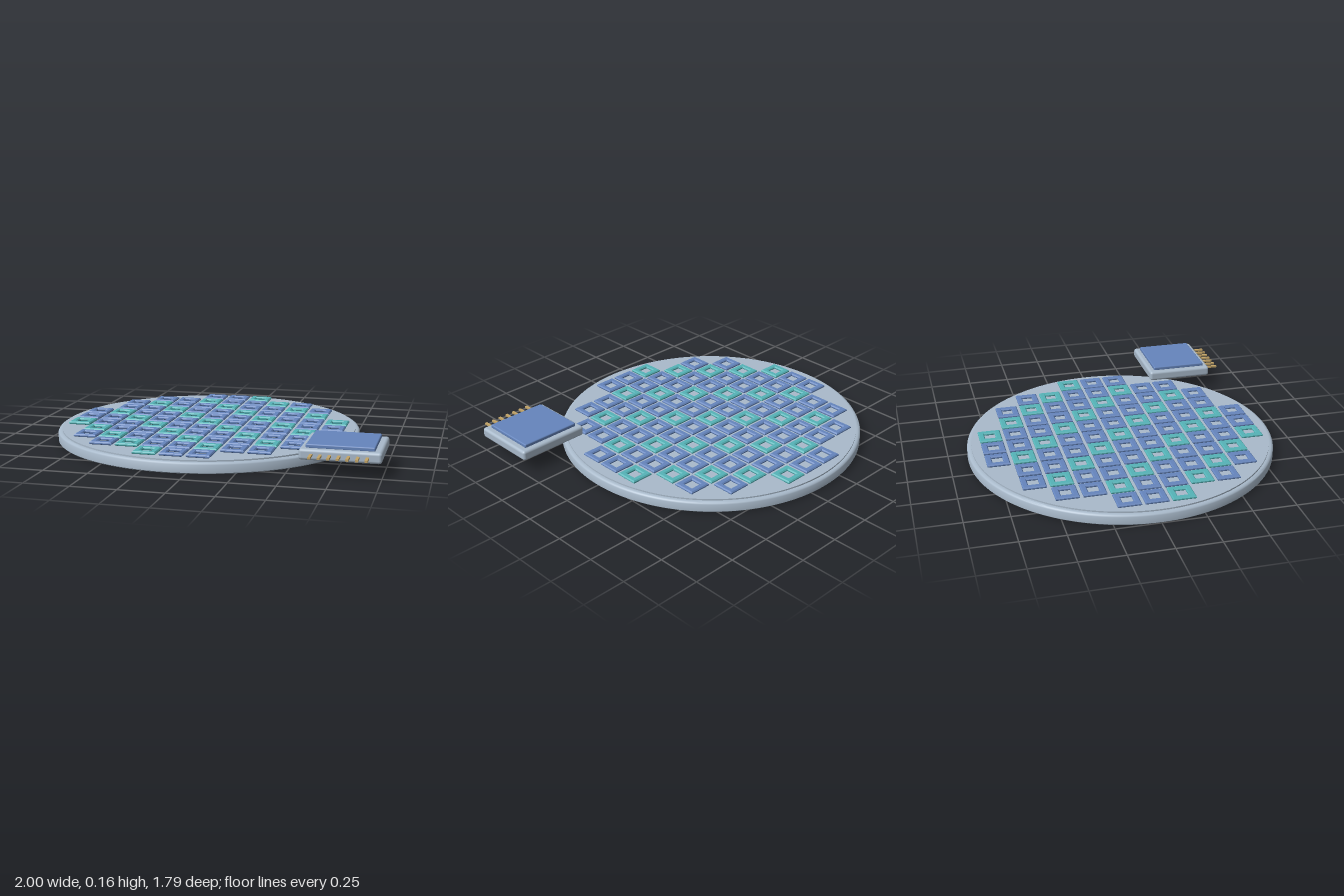
import * as THREE from 'three';
import { RoundedBoxGeometry } from 'three/addons/geometries/RoundedBoxGeometry.js';
import { toCreasedNormals } from 'three/addons/utils/BufferGeometryUtils.js';

const material = (name, color) => {
  const m = new THREE.MeshStandardMaterial({ color });
  m.name = name;
  return m;
};

export function createModel() {
  const silver = material('silver', 0xa9bacb);
  const blue = material('blue', 0x6585bd);
  const teal = material('teal', 0x55b3b7);
  const gold = material('gold', 0xc2a468);

  const model = new THREE.Group();
  model.name = 'waferAndChip';
  const add = (name, geometry, mat, x, y, z, parent = model) => {
    const mesh = new THREE.Mesh(geometry, mat);
    mesh.name = name;
    mesh.position.set(x, y, z);
    parent.add(mesh);
    return mesh;
  };

  // Round wafer with a softened rim and a thin raised face
  const cx = -0.107;
  const profile = [
    [0, 0], [0.888, 0], [0.893, 0.005], [0.893, 0.048], [0.889, 0.055], [0.88, 0.06],
    [0.868, 0.06], [0.868, 0.068], [0, 0.068],
  ].map(([r, y]) => new THREE.Vector2(r, y));
  add('wafer', toCreasedNormals(new THREE.LatheGeometry(profile, 128), 0.6), silver, cx, 0, 0);

  // Square die frame with chamfered edges and an open centre
  const square = (Type, h) => new Type([
    new THREE.Vector2(-h, -h), new THREE.Vector2(h, -h),
    new THREE.Vector2(h, h), new THREE.Vector2(-h, h),
  ]);
  const bevel = 0.006;
  const frame = square(THREE.Shape, 0.065 - bevel);
  frame.holes.push(square(THREE.Path, 0.031 + bevel));
  const dieGeometry = new THREE.ExtrudeGeometry(frame, {
    depth: 0.006, bevelEnabled: true, bevelThickness: bevel, bevelSize: bevel, bevelSegments: 1,
  });
  dieGeometry.rotateX(-Math.PI / 2);

  // Dies fill the round face, every third diagonal in teal
  const dies = new THREE.Group();
  dies.name = 'dies';
  model.add(dies);
  const pitch = 0.149;
  for (let j = -5; j <= 5; j++) {
    for (let i = -5; i <= 5; i++) {
      if (i * i + j * j > 26) continue;
      const mat = (i - j) % 3 === 0 ? teal : blue;
      add('die', dieGeometry, mat, cx + i * pitch, 0.0725, j * pitch, dies);
    }
  }

  // Packaged chip overhanging the wafer edge
  const chip = new THREE.Group();
  chip.name = 'chip';
  chip.position.set(0.784, 0, 0.573);
  model.add(chip);
  add('chipBody', new RoundedBoxGeometry(0.43, 0.06, 0.396, 3, 0.016), silver, 0, 0.111, 0, chip);
  add('chipLid', new RoundedBoxGeometry(0.36, 0.024, 0.33, 2, 0.007), blue, -0.003, 0.149, 0, chip);

  // Row of pins along the front edge
  for (let i = -3; i <= 3; i++) {
    add('pin', new THREE.BoxGeometry(0.015, 0.011, 0.09), gold, -0.003 + i * 0.0485, 0.112, 0.225, chip);
  }
  return model;
}
